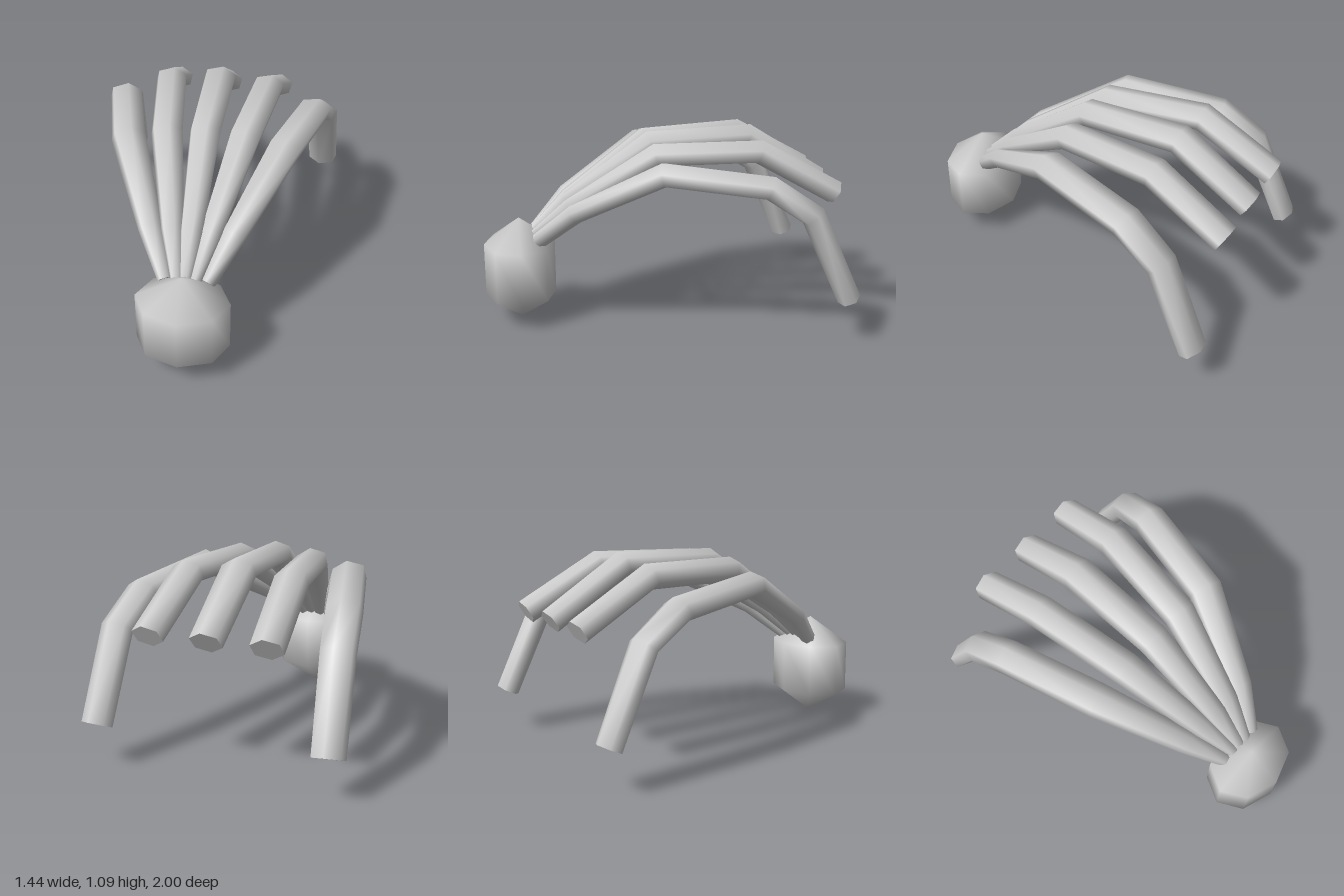
import * as THREE from 'three';

const SIDES = 6;
const ROLL = THREE.MathUtils.degToRad(20);

// Closed six-sided limb through stations [x, y, z, halfWidth, halfThickness]
function limbGeometry(stations) {
  const centres = stations.map(([x, y, z]) => new THREE.Vector3(x, y, z));
  const last = centres.length - 1;
  const rings = centres.map((c, i) => {
    const tangent = new THREE.Vector3();
    if (i > 0) tangent.add(c.clone().sub(centres[i - 1]).normalize());
    if (i < last) tangent.add(centres[i + 1].clone().sub(c).normalize());
    tangent.normalize();
    const side = tangent.clone().cross(new THREE.Vector3(0, 1, 0)).normalize();
    const up = side.clone().cross(tangent);
    const [, , , w, t] = stations[i];
    return Array.from({ length: SIDES }, (_, j) => {
      const a = ROLL + (j / SIDES) * Math.PI * 2;
      return c.clone().addScaledVector(side, w * Math.cos(a)).addScaledVector(up, t * Math.sin(a));
    });
  });

  const points = rings.flat();
  const index = [];
  for (let i = 0; i < last; i++) {
    for (let j = 0; j < SIDES; j++) {
      const k = (j + 1) % SIDES;
      const a = i * SIDES + j, b = i * SIDES + k;
      index.push(a, a + SIDES, b, b, a + SIDES, b + SIDES);
    }
  }
  // Caps use their own vertices so their rims stay sharp
  const addCap = (ring, flip) => {
    const start = points.length;
    points.push(...ring);
    for (let j = 1; j < SIDES - 1; j++) {
      if (flip) index.push(start, start + j + 1, start + j);
      else index.push(start, start + j, start + j + 1);
    }
  };
  addCap(rings[0], false);
  addCap(rings[last], true);

  const geometry = new THREE.BufferGeometry().setFromPoints(points);
  geometry.setIndex(index);
  geometry.computeVertexNormals();
  return geometry;
}

export function createModel() {
  const model = new THREE.Group();
  const material = new THREE.MeshStandardMaterial({ color: 0xcccccc });
  const add = (name, geometry) => {
    const mesh = new THREE.Mesh(geometry, material);
    mesh.name = name;
    model.add(mesh);
    return mesh;
  };

  // Faceted oval body at the front
  const body = add('body', new THREE.SphereGeometry(1, 8, 3));
  body.scale.set(0.294, 0.297, 0.231);
  body.position.set(-0.005, 0.297, 0.8);

  // Middle limb
  add('middleLimb', limbGeometry([
    [0, 0.5, 0.71, 0.035, 0.04],
    [0, 0.68, 0.52, 0.065, 0.05],
    [0, 1.0, 0.05, 0.093, 0.07],
    [0, 1.02, -0.51, 0.1, 0.07],
    [0, 0.75, -0.94, 0.09, 0.068],
  ]));

  // Inner and outer limbs, one pair on each side
  for (const [label, s] of [['left', 1], ['right', -1]]) {
    add(label + 'InnerLimb', limbGeometry([
      [0.05 * s, 0.495, 0.71, 0.035, 0.04],
      [0.105 * s, 0.675, 0.51, 0.065, 0.05],
      [0.215 * s, 0.975, 0.045, 0.093, 0.07],
      [0.29 * s, 0.99, -0.51, 0.095, 0.07],
      [0.32 * s, 0.75, -0.94, 0.09, 0.068],
    ]));
    add(label + 'OuterLimb', limbGeometry([
      [0.115 * s, 0.485, 0.7, 0.04, 0.045],
      [0.225 * s, 0.665, 0.5, 0.07, 0.055],
      [0.435 * s, 0.92, 0.04, 0.1, 0.07],
      [0.57 * s, 0.86, -0.5, 0.1, 0.07],
      [0.61 * s, 0.71, -0.725, 0.095, 0.068],
      [0.635 * s, 0.235, -0.94, 0.09, 0.063],
    ]));
  }
  return model;
}
